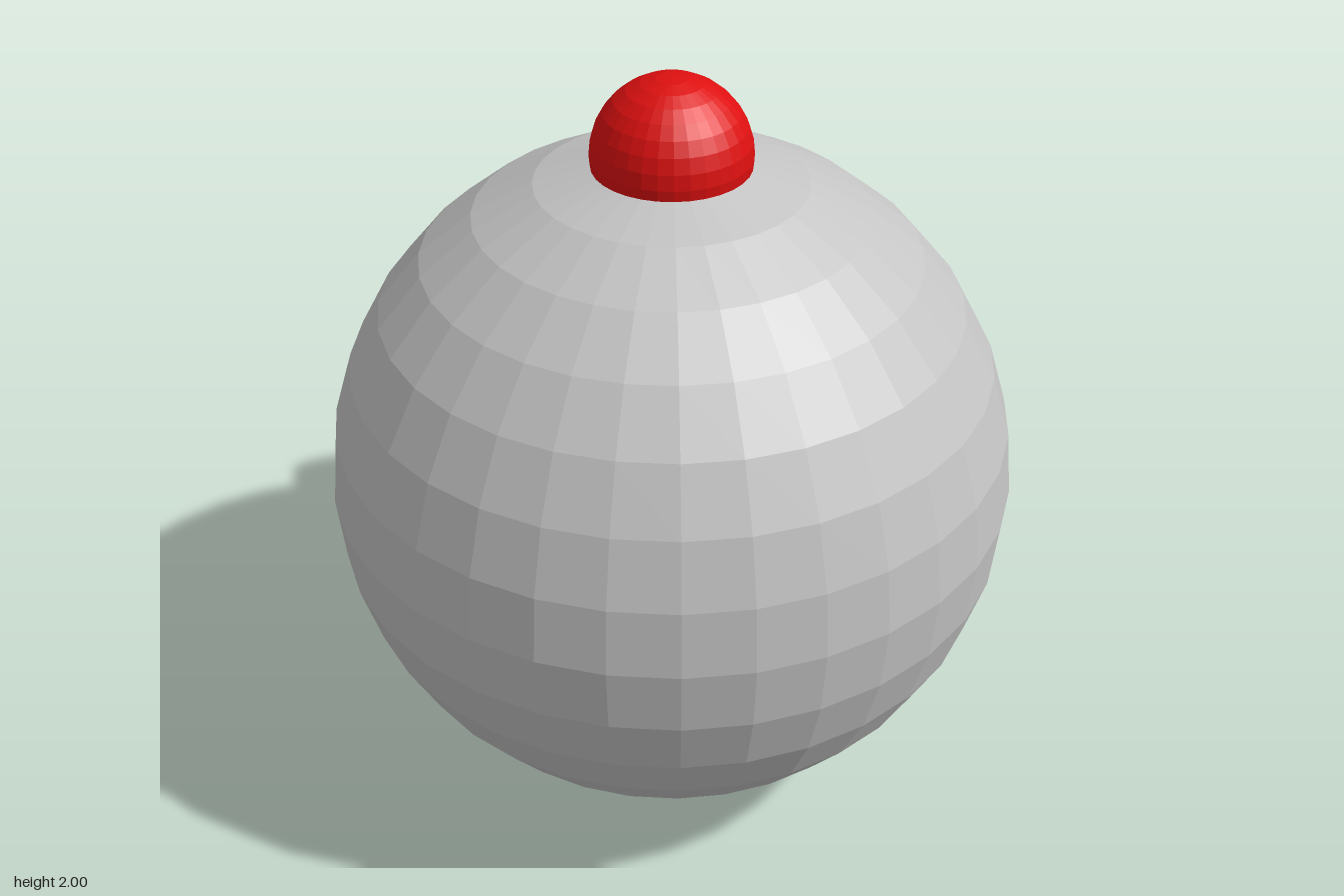
import * as THREE from 'three';

export function createModel() {
  const model = new THREE.Group();
  const grey = new THREE.MeshStandardMaterial({ color: 0xc4c4c4, flatShading: true });
  grey.name = 'grey shell';
  const red = new THREE.MeshStandardMaterial({ color: 0xde1010, flatShading: true });
  red.name = 'red button';

  const add = (name, geometry, material, y, z) => {
    const mesh = new THREE.Mesh(geometry, material);
    mesh.name = name;
    mesh.position.set(0, y, z);
    model.add(mesh);
    return mesh;
  };

  // faceted round body
  add('body', new THREE.SphereGeometry(0.897, 32, 16), grey, 0.897, 0.04);

  // red ball half sunk into the top
  add('topButton', new THREE.SphereGeometry(0.203, 32, 16), red, 1.797, 0.04);

  // short round plug sticking out of the back, rooted inside the body
  const plug = new THREE.CylinderGeometry(0.306, 0.306, 0.2, 32);
  plug.rotateX(Math.PI / 2);
  add('backPlug', plug, grey, 0.9, -0.838);

  return model;
}
